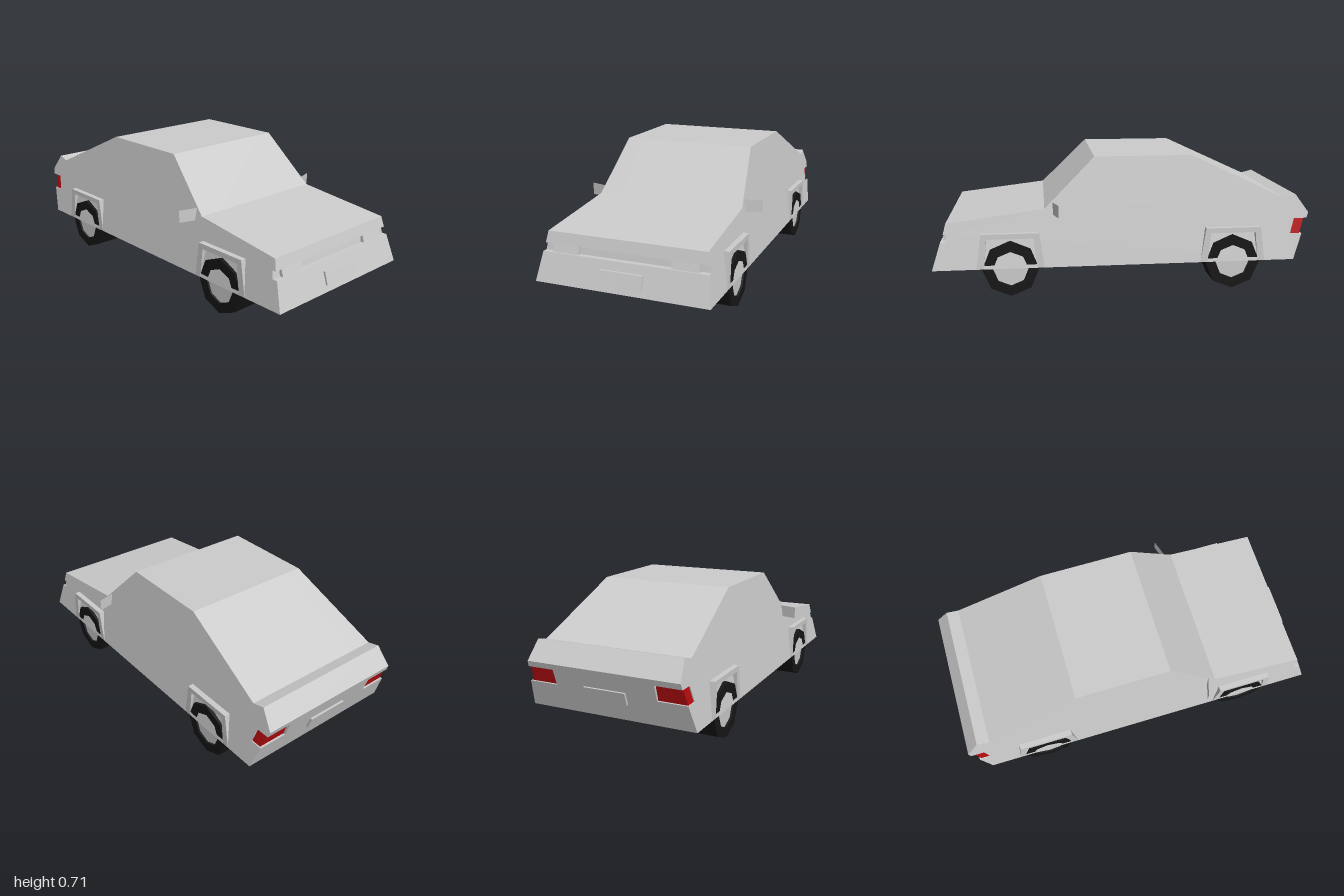
import * as THREE from 'three';

const material = (color) => new THREE.MeshStandardMaterial({ color, flatShading: true });
const grey = material(0xcccccc);
const black = material(0x161616);
const red = material(0xb80c10);
const panel = material(0xcccccc);
panel.side = THREE.DoubleSide;

// Half width of the tapered body at height y
const halfWidth = (y) => 0.453 - (y - 0.15) * 0.161;

// Side outline of [z, y] points, stretched across x between two limits that may depend on y
function prism(name, mat, outline, x0, x1, hole) {
  const points = (list) => list.map(([z, y]) => new THREE.Vector2(-z, y));
  const shape = new THREE.Shape(points(outline));
  if (hole) shape.holes.push(new THREE.Path(points(hole)));
  const geometry = new THREE.ExtrudeGeometry(shape, { depth: 1, bevelEnabled: false });
  const limit = (l, y) => (typeof l === 'function' ? l(y) : l);
  const p = geometry.attributes.position;
  for (let i = 0; i < p.count; i++) {
    const y = p.getY(i);
    const x = THREE.MathUtils.lerp(limit(x0, y), limit(x1, y), p.getZ(i));
    p.setXYZ(i, x, y, -p.getX(i));
  }
  geometry.computeVertexNormals();
  const mesh = new THREE.Mesh(geometry, mat);
  mesh.name = name;
  return mesh;
}

const octagon = (r, z, y) =>
  Array.from({ length: 8 }, (_, i) => [z + r * Math.cos((i * Math.PI) / 4), y + r * Math.sin((i * Math.PI) / 4)]);

function wheel(name, side, z) {
  const group = new THREE.Group();
  group.name = name;
  const y = 0.147;
  const range = (a, b) => (side > 0 ? [a, b] : [-b, -a]);
  group.add(
    prism('tyre', black, octagon(0.147, z, y), ...range(0.288, 0.45), octagon(0.092, z, y)),
    prism('hub', grey, octagon(0.092, z, y), ...range(0.298, 0.44))
  );
  return group;
}

// Flared frame around a wheel opening
function wheelArch(name, side, z) {
  const trapezoid = (bottom, top, y) => [
    [z + bottom, 0.15], [z + top, y], [z - top, y], [z - bottom, 0.15]
  ];
  const outline = [...trapezoid(0.175, 0.148, 0.335), ...trapezoid(0.137, 0.121, 0.308).reverse()];
  const range = side > 0 ? [0.41, 0.453] : [-0.453, -0.41];
  return prism(name, grey, outline, ...range);
}

export function createModel() {
  const car = new THREE.Group();
  car.name = 'car';

  // Body: a centre slab and two outer slabs whose rear corners are cut out for the lamps
  const front = [
    [1, 0.15], [0.955, 0.293], [0.928, 0.293], [0.92, 0.333], [0.94, 0.333], [0.925, 0.39],
    [0.42, 0.452], [0.155, 0.715], [-0.36, 0.715], [-0.865, 0.48], [-0.93, 0.497], [-1, 0.4]
  ];
  const rearBottom = [-0.915, 0.15];
  const notch = [[-0.99, 0.37], [-0.92, 0.37], [-0.897, 0.288], [-0.962, 0.288]];
  const lampX = 0.275;
  car.add(prism('bodyCentre', grey, [...front, rearBottom], -lampX, lampX));
  const cornered = [...front, ...notch, rearBottom];
  car.add(prism('bodyLeft', grey, cornered, lampX, halfWidth));
  car.add(prism('bodyRight', grey, cornered, (y) => -halfWidth(y), -lampX));

  // Number plates
  car.add(prism('frontPlate', grey, [[0.985, 0.183], [1, 0.183], [0.98, 0.25], [0.96, 0.25]], -0.113, 0.113));
  car.add(prism('rearPlate', grey, [[-0.94, 0.24], [-0.958, 0.24], [-0.98, 0.305], [-0.96, 0.305]], -0.113, 0.113));

  for (const side of [1, -1]) {
    const label = side > 0 ? 'Left' : 'Right';

    // Headlight in the grille slot
    const head = [[0.91, 0.293], [0.947, 0.293], [0.935, 0.333], [0.91, 0.333]];
    car.add(prism('headlight' + label, grey, head, side > 0 ? 0.24 : -0.38, side > 0 ? 0.38 : -0.24));

    // Tail lamp wrapping round the rear corner
    const tail = [[-0.918, 0.37], [-0.975, 0.37], [-0.951, 0.288], [-0.895, 0.288]];
    const outer = (y) => side * (halfWidth(y) - 0.006);
    const inner = side * lampX;
    car.add(prism('tailLamp' + label, red, tail, side > 0 ? inner : outer, side > 0 ? outer : inner));

    // Swept-back mirror panel
    const geometry = new THREE.PlaneGeometry(0.095, 0.065);
    const p = geometry.attributes.position;
    for (let i = 0; i < p.count; i++) p.setZ(i, p.getX(i) * side * -0.3);
    geometry.computeVertexNormals();
    const mirror = new THREE.Mesh(geometry, panel);
    mirror.name = 'mirror' + label;
    mirror.position.set(side * 0.445, 0.453, 0.364);
    car.add(mirror);

    // Wheels and arches
    for (const [end, z] of [['front', 0.6], ['rear', -0.578]]) {
      car.add(wheel(end + 'Wheel' + label, side, z));
      car.add(wheelArch(end + 'Arch' + label, side, z));
    }
  }
  return car;
}
